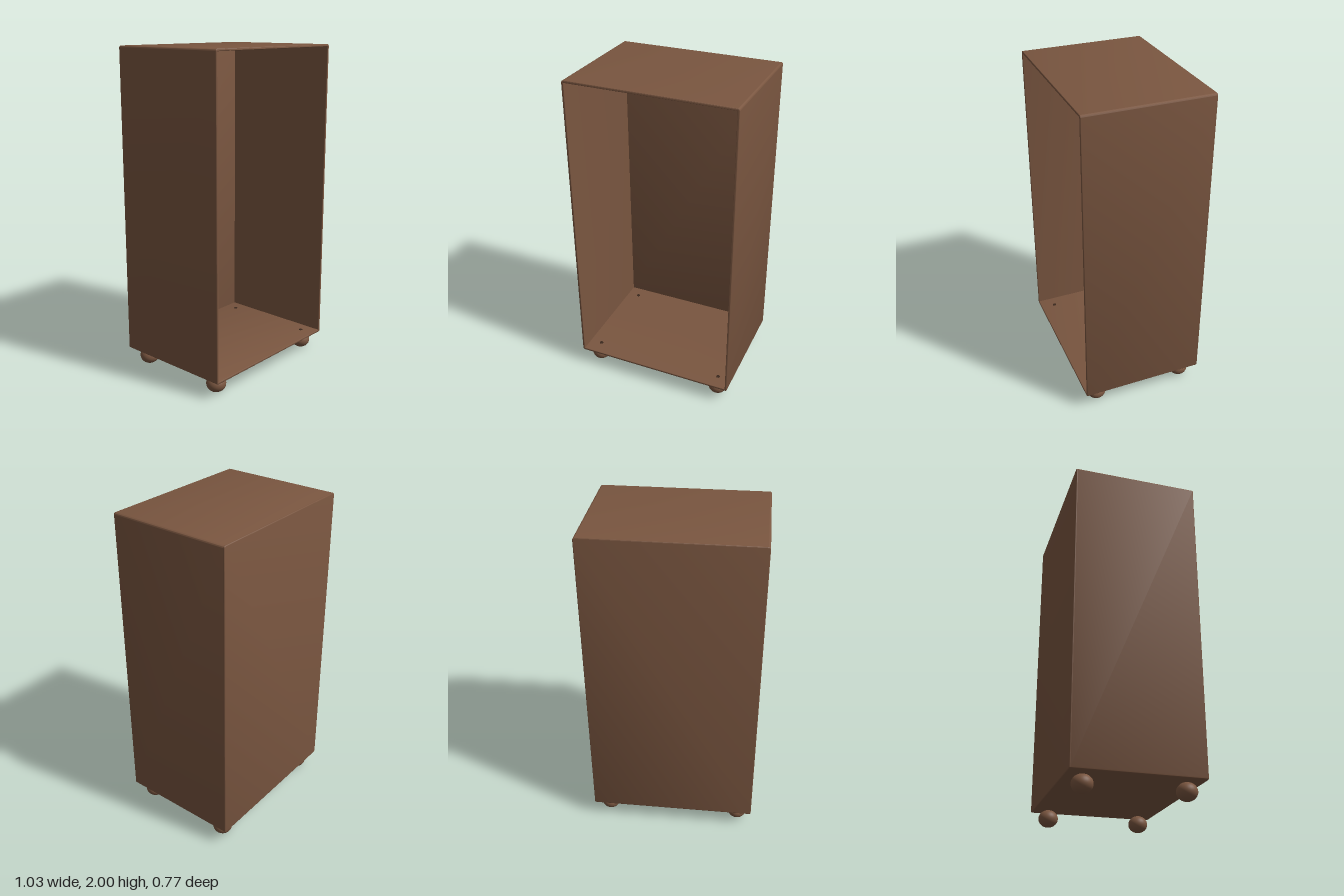
import * as THREE from 'three';
import { toCreasedNormals } from 'three/addons/utils/BufferGeometryUtils.js';

const W = 1.026, BOTTOM = 0.103, TOP = 2, HALF_DEPTH = 0.383;
const WALL = 0.014, BEVEL = 0.005, CORNER = 0.007;

// Rectangle outline with rounded corners, shrunk to leave room for the bevel
function roundedRect(w, h, r) {
  const s = new THREE.Shape();
  const x = w / 2, y = h / 2;
  s.absarc(x - r, y - r, r, 0, Math.PI / 2);
  s.absarc(-x + r, y - r, r, Math.PI / 2, Math.PI);
  s.absarc(-x + r, -y + r, r, Math.PI, Math.PI * 1.5);
  s.absarc(x - r, -y + r, r, Math.PI * 1.5, Math.PI * 2);
  s.closePath();
  return s;
}

// Bevelled extrusion filling z0 to z1
function slab(shape, z0, z1) {
  const geo = new THREE.ExtrudeGeometry(shape, {
    depth: z1 - z0 - 2 * BEVEL, bevelEnabled: true, bevelSize: BEVEL,
    bevelThickness: BEVEL, bevelSegments: 3, curveSegments: 4,
  });
  geo.translate(0, (BOTTOM + TOP) / 2, z0 + BEVEL);
  return toCreasedNormals(geo, 0.7);
}

export function createModel() {
  const group = new THREE.Group();
  const wood = new THREE.MeshStandardMaterial({ color: 0x7a5640 });
  wood.name = 'brown wood';
  const dark = new THREE.MeshStandardMaterial({ color: 0x3a281d });
  dark.name = 'dark brown';

  const add = (name, geo, mat, x = 0, y = 0, z = 0) => {
    const mesh = new THREE.Mesh(geo, mat);
    mesh.name = name;
    mesh.position.set(x, y, z);
    group.add(mesh);
    return mesh;
  };

  // Four walls as one hollow frame, open at the front
  const w = W - 2 * BEVEL, h = TOP - BOTTOM - 2 * BEVEL;
  const frame = roundedRect(w, h, CORNER);
  const hx = W / 2 - WALL + BEVEL, hy = (TOP - BOTTOM) / 2 - WALL + BEVEL;
  frame.holes.push(new THREE.Path([
    new THREE.Vector2(-hx, -hy), new THREE.Vector2(-hx, hy),
    new THREE.Vector2(hx, hy), new THREE.Vector2(hx, -hy),
  ]));
  add('cabinetWalls', slab(frame, -HALF_DEPTH + 0.004, HALF_DEPTH), wood);

  // Back panel closes the rear
  add('backPanel', slab(roundedRect(w, h, CORNER), -HALF_DEPTH, -HALF_DEPTH + WALL), wood);

  // Bun feet, each with a peg end showing on the cabinet floor
  const bun = new THREE.SphereGeometry(0.06, 32, 20);
  bun.scale(1, 0.0525 / 0.06, 1);
  const peg = new THREE.CylinderGeometry(0.012, 0.012, 0.03, 16);
  for (const sx of [-1, 1]) {
    for (const sz of [-1, 1]) {
      const side = (sz > 0 ? 'front' : 'back') + (sx > 0 ? 'Left' : 'Right');
      add(side + 'Foot', bun, wood, sx * 0.422, 0.0525, sz * 0.29);
      add(side + 'Peg', peg, dark, sx * 0.422, 0.104, sz * 0.29);
    }
  }
  return group;
}
